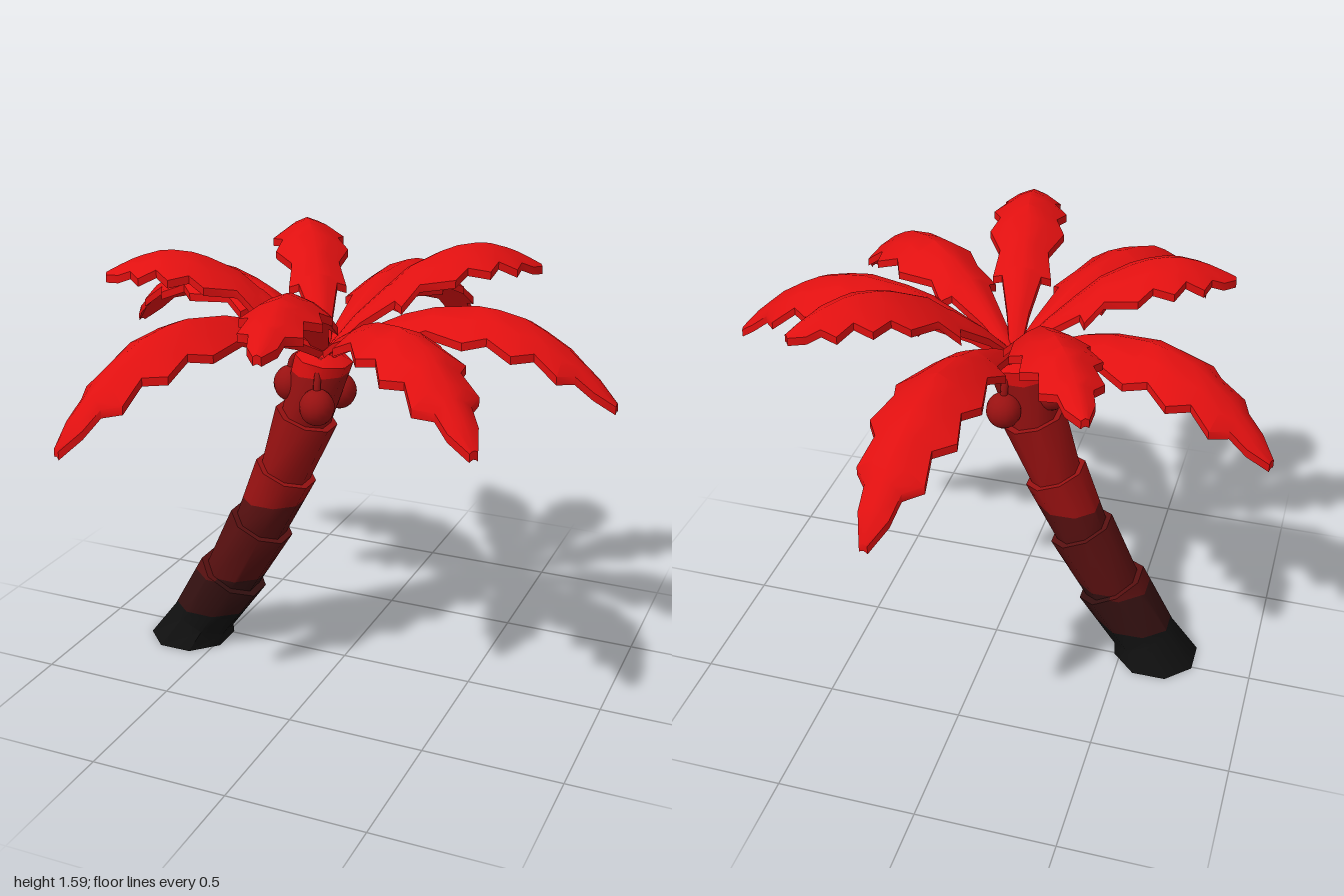
import * as THREE from 'three';
import { toCreasedNormals } from 'three/addons/utils/BufferGeometryUtils.js';

const paint = (name, color) => {
  const m = new THREE.MeshStandardMaterial({ color });
  m.name = name;
  return m;
};

// Joins closed rings of points into a list of triangles, capped at both ends
function loft(rings) {
  const tris = [];
  const n = rings[0].length;
  for (let i = 0; i < rings.length - 1; i++) {
    for (let j = 0; j < n; j++) {
      const k = (j + 1) % n;
      const [a, b, c, d] = [rings[i][j], rings[i][k], rings[i + 1][k], rings[i + 1][j]];
      tris.push([a, b, c], [a, c, d]);
    }
  }
  const first = rings[0], last = rings[rings.length - 1];
  for (let j = 1; j < n - 1; j++) {
    tris.push([first[0], first[j + 1], first[j]], [last[0], last[j], last[j + 1]]);
  }
  return tris;
}

// Keeps the part of a polygon on one side of a horizontal plane
function clip(poly, y, sign) {
  const out = [];
  poly.forEach((p, i) => {
    const q = poly[(i + 1) % poly.length];
    const dp = sign * (p.y - y), dq = sign * (q.y - y);
    if (dp >= 0) out.push(p);
    if (dp * dq < 0) out.push(p.clone().lerp(q, dp / (dp - dq)));
  });
  return out;
}

function toGeometry(polys, crease) {
  const pos = [];
  for (const p of polys) {
    for (let i = 1; i < p.length - 1; i++) {
      for (const v of [p[0], p[i], p[i + 1]]) pos.push(v.x, v.y, v.z);
    }
  }
  const g = new THREE.BufferGeometry();
  g.setAttribute('position', new THREE.Float32BufferAttribute(pos, 3));
  return toCreasedNormals(g, crease);
}

// Trunk rings: x, y, radius, lean
const TRUNK = [
  [-0.63, 0, 0.15, 0], [-0.575, 0.09, 0.112, 0.45],
  [-0.44, 0.30, 0.125, 0.5], [-0.44, 0.30, 0.1, 0.5],
  [-0.315, 0.53, 0.115, 0.45], [-0.315, 0.53, 0.092, 0.45],
  [-0.21, 0.76, 0.108, 0.4], [-0.21, 0.76, 0.087, 0.4],
  [-0.125, 0.985, 0.107, 0.33], [-0.125, 0.985, 0.084, 0.33],
  [-0.055, 1.21, 0.096, 0.15], [-0.05, 1.24, 0.03, 0.1],
];

// Frond stations: distance along, half width, rib height when drooping, rib height when raised
const FROND = [
  [0, 0.02, 1.24, 1.24], [0.14, 0.045, 1.33, 1.36], [0.285, 0.08, 1.405, 1.455],
  [0.30, 0.12, 1.41, 1.46], [0.39, 0.10, 1.44, 1.52], [0.53, 0.155, 1.46, 1.565],
  [0.60, 0.12, 1.455, 1.58], [0.69, 0.155, 1.435, 1.585], [0.75, 0.10, 1.405, 1.58],
  [0.83, 0.12, 1.355, 1.56], [0.875, 0.065, 1.315, 1.545], [0.935, 0.055, 1.26, 1.52],
  [1, 0.015, 1.185, 1.49],
];

// Fronds in turn, 40 degrees apart: length, raised or not, extra droop
const FRONDS = [
  [1.04, false, 0], [0.81, true, 0], [1.05, false, 0.07], [0.84, true, 0.01], [1.01, false, 0],
  [0.76, true, -0.02], [1.05, false, 0.07], [0.84, true, 0.01], [0.99, false, -0.02],
];

function frondGeometry(length, raised, droop) {
  const across = [-1, -0.5, 0, 0.5, 1];
  const rings = FROND.map(([t, half, low, high]) => {
    const w = half * (raised ? 0.87 : 1);
    const rib = (raised ? high : low) - droop * t ** 3;
    const point = (v, thick) =>
      new THREE.Vector3(t * length, rib - 0.55 * w * Math.abs(v) ** 1.5 - thick, v * w);
    return [...across.map((v) => point(v, 0)), ...across.map((v) => point(-v, 0.028))];
  });
  return toGeometry(loft(rings), 0.75);
}

export function createModel() {
  const model = new THREE.Group();
  model.name = 'palmTree';
  const red = paint('leafRed', 0xe01010);
  const barkRed = paint('barkRed', 0x981111);
  const barkDark = paint('barkDarkRed', 0x581010);
  const barkDeep = paint('barkDeepRed', 0x331010);
  const black = paint('rootBlack', 0x101010);

  const add = (parent, name, geometry, material) => {
    const mesh = new THREE.Mesh(geometry, material);
    mesh.name = name;
    parent.add(mesh);
    return mesh;
  };

  // Stepped, leaning trunk, cut into level colour bands
  const trunk = new THREE.Group();
  trunk.name = 'trunk';
  model.add(trunk);
  const sides = 8;
  const rings = TRUNK.map(([x, y, r, lean]) => Array.from({ length: sides }, (_, j) => {
    const a = ((j + 0.5) / sides) * Math.PI * 2;
    const R = r / Math.cos(Math.PI / sides);
    const u = R * Math.cos(a);
    return new THREE.Vector3(x + u * Math.cos(lean), y - u * Math.sin(lean), 0.055 - R * Math.sin(a));
  }));
  const tris = loft(rings);
  [
    ['trunkFoot', -1, 0.15, black], ['trunkLower', 0.15, 0.31, barkDeep],
    ['trunkMiddle', 0.31, 0.64, barkDark], ['trunkUpper', 0.64, 1.16, barkRed],
    ['trunkCrown', 1.16, 2, red],
  ].forEach(([name, from, to, material]) => {
    const band = tris.map((t) => clip(clip(t, from, 1), to, -1)).filter((p) => p.length > 2);
    add(trunk, name, toGeometry(band, 0.85), material);
  });

  // Ring of arching fronds, low and raised in turn
  const crown = new THREE.Group();
  crown.name = 'fronds';
  crown.position.set(-0.05, 0, 0.055);
  model.add(crown);
  FRONDS.forEach(([length, raised, droop], i) => {
    const frond = add(crown, raised ? 'raisedFrond' : 'droopingFrond',
      frondGeometry(length, raised, droop), red);
    frond.rotation.y = (i * 40 * Math.PI) / 180;
  });
  add(crown, 'crownKnob', new THREE.SphereGeometry(0.025, 10, 8), red).position.y = 1.245;

  // Coconuts on short stems
  [[-0.185, 1.1, 0.055], [-0.04, 1.06, 0.155], [-0.04, 1.06, -0.045]].forEach(([x, y, z]) => {
    const nut = new THREE.Group();
    nut.name = 'coconut';
    model.add(nut);
    const ball = add(nut, 'coconutShell', new THREE.SphereGeometry(0.063, 16, 12), barkRed);
    ball.position.set(x, y, z);
    ball.scale.y = 1.05;
    const path = new THREE.QuadraticBezierCurve3(
      new THREE.Vector3(x, y + 0.05, z),
      new THREE.Vector3(x, y + 0.12, z),
      new THREE.Vector3(x * 0.5 - 0.025, 1.22, z * 0.5 + 0.0275));
    add(nut, 'coconutStem', new THREE.TubeGeometry(path, 6, 0.014, 6), barkRed);
  });

  return model;
}
